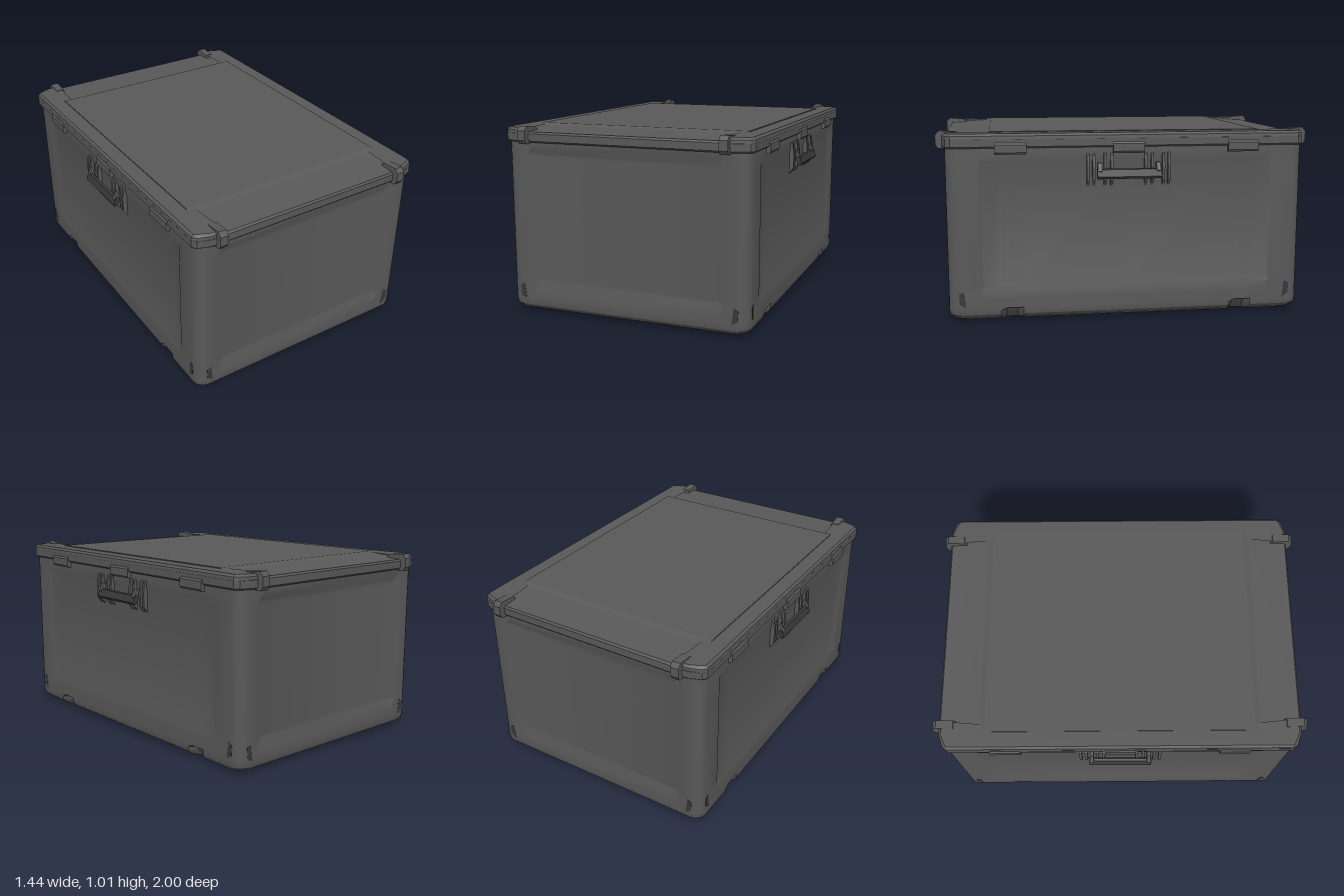
import * as THREE from 'three';
import { toCreasedNormals } from 'three/addons/utils/BufferGeometryUtils.js';

const shell = new THREE.MeshStandardMaterial({ color: 0x585858 });
shell.name = 'grey shell';
const trim = new THREE.MeshStandardMaterial({ color: 0x383838 });
trim.name = 'dark trim';

// Closed solid through horizontal rings; each ring is { y, pts: [[x, z], ...] } running from +x towards +z
function loft(rings, crease = 0.5) {
  const n = rings[0].pts.length, pos = [], index = [];
  for (const { y, pts } of rings) for (const [x, z] of pts) pos.push(x, y, z);
  for (let k = 0; k < rings.length - 1; k++) {
    for (let i = 0; i < n; i++) {
      const a = k * n + i, b = k * n + (i + 1) % n;
      index.push(a, a + n, b, b, a + n, b + n);
    }
  }
  const centre = (ring) => [0, 1].map((c) => ring.pts.reduce((s, p) => s + p[c], 0) / n);
  const last = rings.length - 1, base = rings.length * n;
  for (const r of [rings[0], rings[last]]) {
    const [cx, cz] = centre(r);
    pos.push(cx, r.y, cz);
  }
  for (let i = 0; i < n; i++) {
    const j = (i + 1) % n;
    index.push(base, i, j, base + 1, last * n + j, last * n + i);
  }
  const g = new THREE.BufferGeometry();
  g.setAttribute('position', new THREE.Float32BufferAttribute(pos, 3));
  g.setIndex(index);
  return toCreasedNormals(g, crease);
}

// Repeats a quarter outline (from z = 0 round to x = 0) in all four quadrants
function fourWay(q) {
  const half = [...q, ...q.slice(0, -1).reverse().map(([x, z]) => [-x, z])];
  return [...half, ...half.slice(1, -1).reverse().map(([x, z]) => [x, -z])];
}

// Body outline: rounded corners, recessed ends, slightly recessed sides, foot notches
function bodyRing([y, inset, end, side, notch]) {
  const hx = 0.67 - inset, hz = 0.952 - inset, r = 0.06, s = hx - side;
  const q = [[s, 0], [s, 0.56], [s - notch, 0.59], [s - notch, 0.65], [s, 0.68], [s, 0.77], [hx, 0.78]];
  for (let i = 0; i <= 5; i++) {
    const a = (i / 5) * Math.PI / 2;
    q.push([hx - r + r * Math.cos(a), hz - r + r * Math.sin(a)]);
  }
  q.push([0.55, hz], [0.51, hz - end], [0, hz - end]);
  return { y, pts: fourWay(q) };
}

// Extrudes a profile of [u, y] points along its third axis, centred
function prism(points, width) {
  const g = new THREE.ExtrudeGeometry(new THREE.Shape(points.map((p) => new THREE.Vector2(...p))),
    { depth: width, bevelEnabled: false });
  return g.translate(0, 0, -width / 2);
}

function add(parent, name, geometry, material = shell, x = 0, y = 0, z = 0) {
  const m = new THREE.Mesh(geometry, material);
  m.name = name;
  m.position.set(x, y, z);
  parent.add(m);
  return m;
}

export function createModel() {
  const model = new THREE.Group();
  model.name = 'coolBox';

  // Body: height, inset, end recess, side recess, foot notch
  add(model, 'body', loft([
    [0.004, 0.055, 0, 0, 0.03], [0.02, 0.022, 0, 0, 0.05], [0.04, 0.004, 0, 0, 0.05],
    [0.06, 0, 0, 0, 0.04], [0.075, 0, 0, 0, 0], [0.12, 0, 0, 0, 0], [0.17, 0, 0.018, 0, 0],
    [0.185, 0, 0.018, 0.005, 0], [0.84, 0, 0.018, 0.005, 0], [0.86, 0, 0.018, 0, 0],
    [0.9, 0, 0, 0, 0], [0.94, 0, 0, 0, 0],
  ].map(bodyRing)));
  const basePlate = (y, d) => ({ y, pts: fourWay([[0.5 - d, 0], [0.5 - d, 0.72], [0.46 - d, 0.76 - d], [0, 0.76 - d]]) });
  add(model, 'basePanel', loft([basePlate(0, 0.01), basePlate(0.006, 0)]));

  // Lid slab with cut corners
  const lidRing = (y, d) => ({
    y, pts: fourWay([[0.685 - d, 0], [0.685 - d, 0.92], [0.667 - d, 0.945 - d], [0.6 - d, 0.968 - d], [0, 0.968 - d]]),
  });
  add(model, 'lid', loft([lidRing(0.922, 0.008), lidRing(0.93, 0), lidRing(0.968, 0), lidRing(0.978, 0.008)]));

  // Raised lid centre with ends sloping down
  const crown = prism([[-0.96, 0.97], [0.96, 0.97], [0.958, 0.977], [0.75, 0.99], [0.72, 1.002],
    [-0.72, 1.002], [-0.75, 0.99], [-0.958, 0.977]], 1.18).rotateY(-Math.PI / 2);
  add(model, 'lidCrown', crown);

  // Raised rails along both sides of the lid
  const railRing = (y, d) => ({
    y, pts: [[0.685 - d, -0.92], [0.685 - d, 0.92], [0.667 - d, 0.945 - d], [0.6, 0.967 - d], [0.53, 0.967 - d],
      [0.588, 0.82], [0.588, -0.82], [0.53, -0.967 + d], [0.6, -0.967 + d], [0.667 - d, -0.945 + d]],
  });
  const rail = loft([railRing(0.965, 0), railRing(0.985, 0.002), railRing(0.997, 0.014)]);
  const latch = prism([[0.87, 0.975], [0.89, 1.0], [0.98, 1.008], [1, 0.985], [1, 0.935],
    [0.985, 0.915], [0.945, 0.915], [0.945, 0.975]], 0.045).rotateY(-Math.PI / 2);
  const fin = prism([[0.655, 0.9], [0.682, 0.88], [0.69, 0.82], [0.688, 0.75], [0.66, 0.71]], 0.014);
  const arm = prism([[0.66, 0.84], [0.69, 0.84], [0.715, 0.8], [0.7, 0.77], [0.66, 0.81]], 0.02);
  const grip = prism([[0.695, 0.81], [0.685, 0.795], [0.7, 0.763], [0.715, 0.758], [0.722, 0.77], [0.708, 0.806]], 0.34);
  const hinge = prism([[0.66, 0.89], [0.686, 0.89], [0.693, 0.9], [0.693, 0.94], [0.683, 0.952], [0.66, 0.952]], 0.165);
  const pocketShape = [[-0.025, 0], [0.02, 0.02], [0.025, 0.075], [-0.01, 0.09]];

  for (const turn of [0, Math.PI]) {
    const half = new THREE.Group();
    half.name = turn ? 'rightAndBackFittings' : 'leftAndFrontFittings';
    half.rotation.y = turn;
    model.add(half);
    add(half, 'lidRail', rail);

    // Latches on the end
    for (const s of [-1, 1]) add(half, 'latch', latch, shell, s * 0.55);

    // Hinge tabs on the side
    for (const z of [-0.615, 0, 0.615]) add(half, 'hingeTab', hinge, shell, 0, 0, z);

    // Carry handle between ribbed mounts
    for (const s of [-1, 1]) {
      for (const z of [0.09, 0.125, 0.185, 0.215]) add(half, 'handleRib', fin, shell, 0, 0, s * z);
      add(half, 'handleArm', arm, shell, 0, 0, s * 0.155);
    }
    add(half, 'handleGrip', grip, trim);

    // Small corner pockets on the end and the side
    for (const s of [-1, 1]) {
      const pts = pocketShape.map(([u, v]) => [u * 0.7 * s, v]);
      const plate = prism(pts, 0.004);
      add(half, 'endPocket', plate, trim, s * 0.6, 0.07, 0.951);
      add(half, 'sidePocket', plate, trim, 0.669, 0.08, -s * 0.88).rotation.y = Math.PI / 2;
    }
  }
  return model;
}
